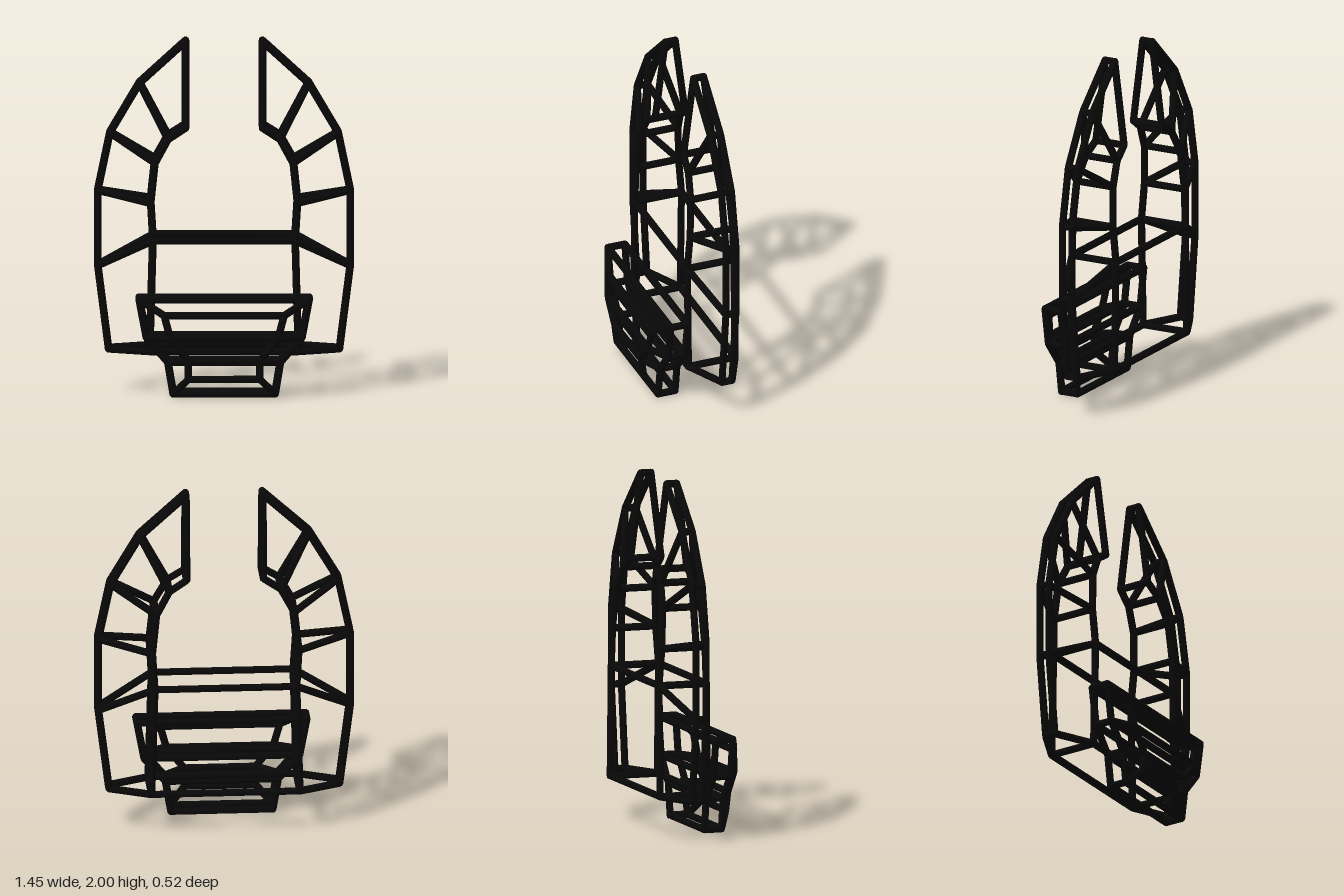
import * as THREE from 'three';
import { mergeGeometries } from 'three/addons/utils/BufferGeometryUtils.js';

const R = 0.021;
const UP = new THREE.Vector3(0, 1, 0);
const material = new THREE.MeshStandardMaterial({ color: 0x080808 });

// One straight rod between two joints
function rod(a, b) {
  const dir = b.clone().sub(a);
  const g = new THREE.CylinderGeometry(R, R, dir.length(), 8, 1, true);
  g.applyQuaternion(new THREE.Quaternion().setFromUnitVectors(UP, dir.normalize()));
  const mid = a.clone().add(b).multiplyScalar(0.5);
  return g.translate(mid.x, mid.y, mid.z);
}

// Rods with a ball at every joint, merged into one named mesh
function frame(name, edges) {
  const joints = new Set(edges.flat());
  const parts = edges.map(([a, b]) => rod(a, b));
  for (const p of joints) parts.push(new THREE.SphereGeometry(R, 8, 6).translate(p.x, p.y, p.z));
  const mesh = new THREE.Mesh(mergeGeometries(parts), material);
  mesh.name = name;
  return mesh;
}

const v = (x, y, z) => new THREE.Vector3(x, y, z);

// Cross-sections of a curved arm: outer x, y, inner x, y, inner half depth
const ARM = [
  [0.645, 0.246, 0.415, 0.246, 0.14],
  [0.705, 0.715, 0.397, 0.87, 0.14],
  [0.705, 1.14, 0.41, 1.08, 0.128],
  [0.637, 1.465, 0.386, 1.305, 0.115],
  [0.472, 1.745, 0.313, 1.437, 0.1],
  [0.215, 1.979, 0.215, 1.5, 0.09],
];
const ZC = -0.103, OUTER_HALF = 0.03;

function armSections(s) {
  return ARM.map(([ox, oy, ix, iy, h]) => [
    v(s * ox, oy, ZC + OUTER_HALF), v(s * ix, iy, ZC + h),
    v(s * ix, iy, ZC - h), v(s * ox, oy, ZC - OUTER_HALF),
  ]);
}

function armEdges(sections) {
  const edges = [];
  sections.forEach((ring, i) => ring.forEach((p, k) => {
    edges.push([p, ring[(k + 1) % 4]]);
    if (i > 0) edges.push([sections[i - 1][k], p]);
  }));
  return edges;
}

// Half outline of the front block and of its smaller raised face
const OUTLINE = [[0.475, 0.558], [0.435, 0.345], [0.315, 0.205], [0.285, 0.026]];
const FACE = [[0.335, 0.475, 0.222], [0.3, 0.345, 0.235], [0.2, 0.22, 0.235], [0.2, 0.115, 0.222]];

function blockEdges() {
  const edges = [];
  const layers = s => [
    OUTLINE.map(([x, y]) => v(s * x, y, 0.066)),
    OUTLINE.map(([x, y]) => v(s * x, y, 0.167)),
    FACE.map(([x, y, z]) => v(s * x, y, z)),
  ];
  const left = layers(1), right = layers(-1);
  for (const side of [left, right]) {
    for (let l = 0; l < 3; l++) for (let i = 0; i < 4; i++) {
      if (i > 0) edges.push([side[l][i - 1], side[l][i]]);
      if (l > 0) edges.push([side[l - 1][i], side[l][i]]);
    }
  }
  // Bars running across the block
  left.forEach((layer, l) => layer.forEach((p, i) => edges.push([p, right[l][i]])));
  return edges;
}

export function createModel() {
  const group = new THREE.Group();
  group.name = 'wireFrameClaw';
  const left = armSections(1), right = armSections(-1);
  group.add(frame('leftArm', armEdges(left)));
  group.add(frame('rightArm', armEdges(right)));

  // Bars joining the arms, front and back, at the bottom and at the shoulder
  const bars = [];
  for (const i of [0, 1]) for (const k of [1, 2]) bars.push([left[i][k], right[i][k]]);
  group.add(frame('crossBars', bars));

  group.add(frame('frontBlock', blockEdges()));
  return group;
}
